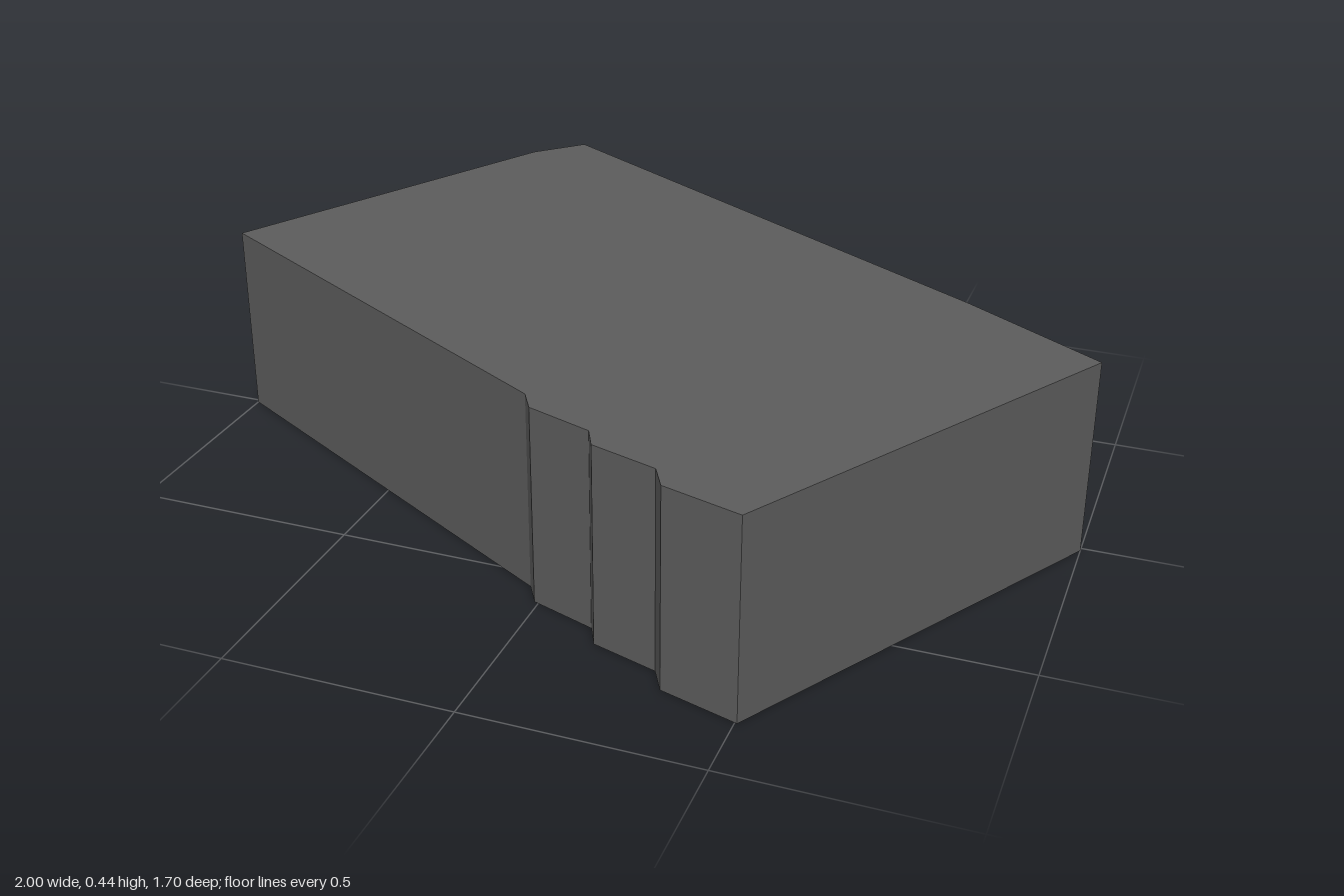
import * as THREE from 'three';

const HEIGHT = 0.445;

// Footprint corners as [x, z], counter-clockwise seen from above
const outline = [
  [-1, 0.01], [-0.04, 0.55],
  [-0.01, 0.6], [0.135, 0.65],   // three stepped notches
  [0.16, 0.7], [0.305, 0.745],
  [0.335, 0.8], [0.505, 0.85],
  [1, 0.01], [0.68, -0.19],      // slightly bent back wall
  [-0.48, -0.85], [-0.58, -0.75] // cut corner
];

// Flat-shaded vertical faces along the closed outline
function wallGeometry(points, height) {
  const positions = [];
  points.forEach(([ax, az], i) => {
    const [bx, bz] = points[(i + 1) % points.length];
    positions.push(
      ax, 0, az, bx, 0, bz, bx, height, bz,
      ax, 0, az, bx, height, bz, ax, height, az
    );
  });
  const geometry = new THREE.BufferGeometry();
  geometry.setAttribute('position', new THREE.Float32BufferAttribute(positions, 3));
  geometry.computeVertexNormals();
  return geometry;
}

export function createModel() {
  const group = new THREE.Group();
  group.name = 'building';

  const grey = new THREE.MeshStandardMaterial({ color: 0x5c5c5c, side: THREE.DoubleSide });
  grey.name = 'dark grey';

  // Outer walls, open underneath
  const walls = new THREE.Mesh(wallGeometry(outline, HEIGHT), grey);
  walls.name = 'walls';

  // Flat roof
  const shape = new THREE.Shape(outline.map(([x, z]) => new THREE.Vector2(x, -z)));
  const roof = new THREE.Mesh(new THREE.ShapeGeometry(shape).rotateX(-Math.PI / 2), grey);
  roof.position.y = HEIGHT;
  roof.name = 'roof';

  group.add(walls, roof);
  return group;
}
